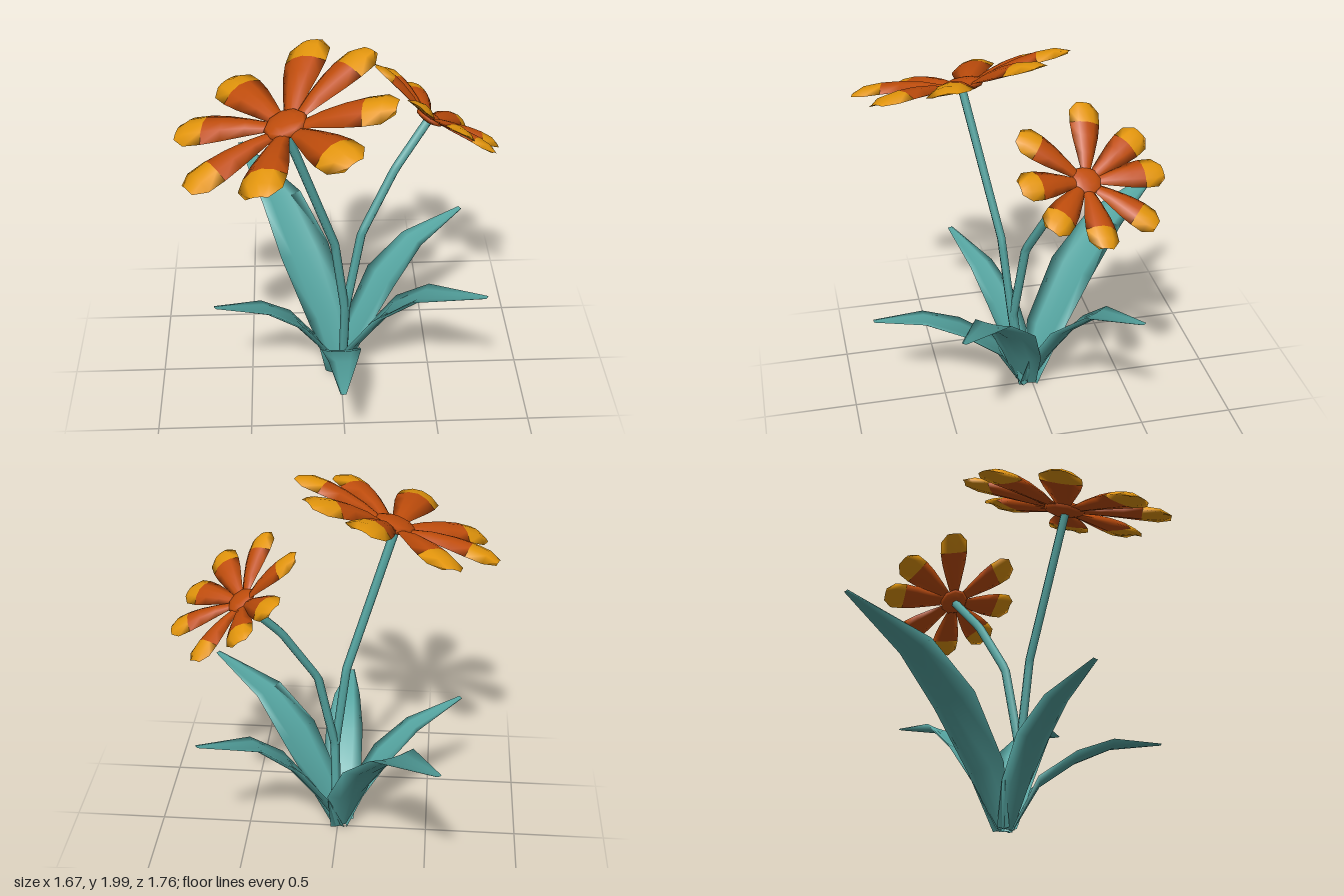
import * as THREE from 'three';

const mat = (name, color) => {
  const m = new THREE.MeshStandardMaterial({ color });
  m.name = name;
  return m;
};

// Lens-shaped cross-section: [position across, top or bottom]
const RING = [[-1, 0], [-0.5, 1], [0, 1], [0.5, 1], [1, 0], [0.5, -1], [0, -1], [-0.5, -1]];

// Closed blade through sections { c: centre, w: half width, t: half thickness, side, up }; bend raises the edges
function blade(sections, bend) {
  const n = RING.length, pos = [], idx = [];
  sections.forEach(({ c, w, t, side, up }, i) => {
    RING.forEach(([u, s], j) => {
      const p = c.clone().addScaledVector(side, u * w).addScaledVector(up, bend * u * u * w + s * t * (1 - u * u));
      pos.push(p.x, p.y, p.z);
      if (i) {
        const a = i * n + j, a2 = i * n + (j + 1) % n, b = a - n, b2 = a2 - n;
        idx.push(b, a, a2, b, a2, b2);
      }
    });
  });
  const g = new THREE.BufferGeometry();
  g.setAttribute('position', new THREE.Float32BufferAttribute(pos, 3));
  g.setIndex(idx);
  g.computeVertexNormals();
  return g;
}

function add(parent, name, geometry, material) {
  const m = new THREE.Mesh(geometry, material);
  m.name = name;
  parent.add(m);
  return m;
}

// Leaf from centre points [x, y, z] and half widths, gently channelled along its length
function leafGeometry(points, widths) {
  const pts = points.map(p => new THREE.Vector3(...p));
  const last = pts.length - 1;
  const out = pts[last].clone().sub(pts[0]).setY(0).normalize();
  const side = new THREE.Vector3(out.z, 0, -out.x);
  return blade(pts.map((c, i) => {
    const up = pts[Math.min(i + 1, last)].clone().sub(pts[Math.max(i - 1, 0)]).normalize().cross(side);
    return { c, w: widths[i], t: i === 0 || i === last ? 0 : 0.013, side, up };
  }), 0.22);
}

// Petal pieces along +x from [radius, height, half width, half thickness] rows
const petalGeometry = rows => blade(rows.map(([r, y, w, t]) => ({
  c: new THREE.Vector3(r, y, 0), w, t,
  side: new THREE.Vector3(0, 0, -1), up: new THREE.Vector3(0, 1, 0),
})), -0.18);

export function createModel() {
  const root = new THREE.Group();
  root.name = 'floweringPlant';
  const green = mat('leafTeal', 0x55a5a1);
  const orange = mat('petalOrange', 0xc04d0c);
  const yellow = mat('petalTipYellow', 0xe4960c);

  // Leaves
  const leaves = {
    backRightLeaf: [[[-0.02, 0.01, 0], [-0.08, 0.3, -0.1], [-0.2, 0.6, -0.29], [-0.32, 0.82, -0.5], [-0.55, 0.99, -0.87]],
      [0.06, 0.13, 0.155, 0.125, 0.015]],
    frontLeftLeaf: [[[0, 0.01, 0.04], [0.1, 0.25, 0.09], [0.25, 0.51, 0.18], [0.42, 0.7, 0.3], [0.73, 0.83, 0.5]],
      [0.06, 0.115, 0.14, 0.1, 0.015]],
    backLeftLeaf: [[[0, 0.01, 0.02], [0.1, 0.25, -0.05], [0.25, 0.51, -0.15], [0.42, 0.69, -0.25], [0.7, 0.79, -0.42]],
      [0.06, 0.1, 0.125, 0.085, 0.015]],
    frontRightLeaf: [[[-0.04, 0.01, 0.03], [-0.12, 0.22, 0.07], [-0.25, 0.42, 0.13], [-0.41, 0.57, 0.21], [-0.67, 0.69, 0.34]],
      [0.05, 0.085, 0.1, 0.075, 0.015]],
    frontLeaf: [[[-0.02, 0.01, 0.07], [-0.01, 0.26, 0.2], [-0.01, 0.41, 0.4], [-0.01, 0.505, 0.6], [-0.02, 0.53, 0.87]],
      [0.065, 0.11, 0.105, 0.075, 0.015]],
  };
  for (const [name, [points, widths]] of Object.entries(leaves)) add(root, name, leafGeometry(points, widths), green);

  // Stems: straight lengths with distinct bends
  const stems = {
    tallStem: [[0.01, 0.02, 0.06], [0.02, 0.5, 0.12], [-0.035, 0.95, 0.16], [-0.28, 1.73, 0.31]],
    shortStem: [[0.01, 0.02, 0.05], [0.025, 0.5, 0.11], [0.11, 0.95, 0.06], [0.29, 1.28, -0.05], [0.47, 1.51, -0.16]],
  };
  for (const [name, points] of Object.entries(stems)) {
    const path = new THREE.CurvePath();
    const pts = points.map(p => new THREE.Vector3(...p));
    for (let i = 1; i < pts.length; i++) path.add(new THREE.LineCurve3(pts[i - 1], pts[i]));
    add(root, name, new THREE.TubeGeometry(path, 30, 0.024, 6), green);
  }

  // Flowers share one set of petal pieces
  const petal = petalGeometry([[0.06, -0.005, 0.03, 0], [0.2, 0.012, 0.068, 0.022], [0.32, 0.022, 0.098, 0.028], [0.42, 0.025, 0.113, 0.028]]);
  const tip = petalGeometry([[0.42, 0.025, 0.113, 0.028], [0.515, 0.022, 0.112, 0.022], [0.58, 0.012, 0.055, 0]]);
  const disc = new THREE.SphereGeometry(0.115, 9, 6).scale(1, 0.33, 1);
  // Each petal is [angle, upward tilt] in degrees
  const flowers = [
    { name: 'largeFlower', at: [-0.275, 1.755, 0.305], normal: [-0.33, 1, 0.12], scale: 1,
      petals: [[16, 2], [57, 1], [104, 4], [150, 0], [196, 3], [239, 2], [289, 7], [325, 5]] },
    { name: 'smallFlower', at: [0.475, 1.52, -0.165], normal: [0.66, 1, -0.28], scale: 0.7,
      petals: [[262, 7], [307, 3], [357, 7], [37, 6], [74, 9], [117, 9], [181, 12], [229, 9]] },
  ];
  for (const f of flowers) {
    const flower = new THREE.Group();
    flower.name = f.name;
    flower.position.set(...f.at);
    flower.scale.setScalar(f.scale);
    flower.quaternion.setFromUnitVectors(new THREE.Vector3(0, 1, 0), new THREE.Vector3(...f.normal).normalize());
    add(flower, 'flowerCentre', disc, orange);
    for (const [angle, tilt] of f.petals) {
      const one = new THREE.Group();
      one.name = 'petal';
      one.rotation.set(0, -THREE.MathUtils.degToRad(angle), THREE.MathUtils.degToRad(tilt), 'YXZ');
      add(one, 'petalBlade', petal, orange);
      add(one, 'petalTip', tip, yellow);
      flower.add(one);
    }
    root.add(flower);
  }
  return root;
}
